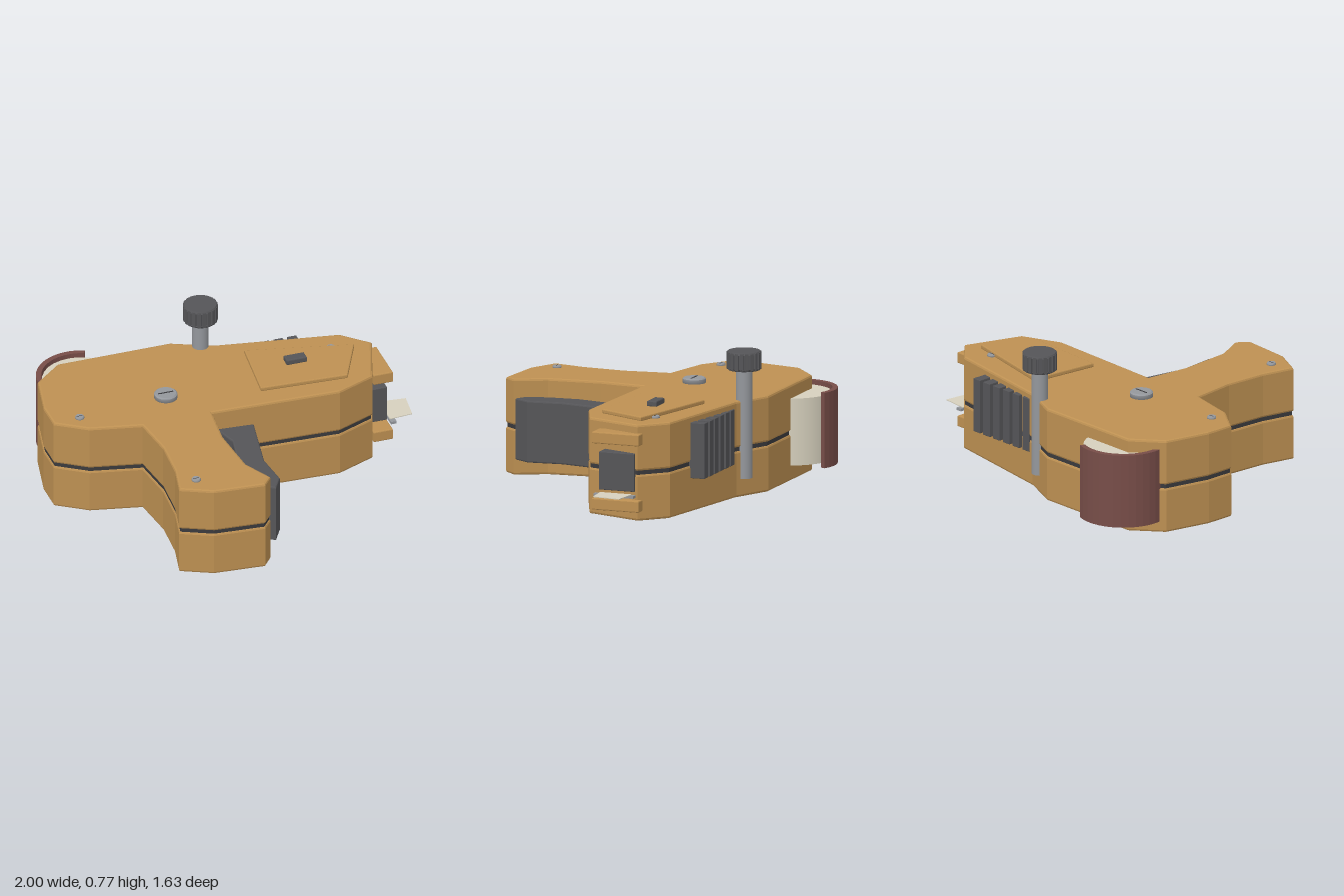
import * as THREE from 'three';

const mat = (name, color) => {
  const m = new THREE.MeshStandardMaterial({ color });
  m.name = name;
  return m;
};

export function createModel() {
  const group = new THREE.Group();
  const tan = mat('tan casing', 0xbd9052);
  const dark = mat('dark plastic', 0x555558);
  const seamDark = mat('seam rubber', 0x3a3a3d);
  const steel = mat('steel', 0x94979c);
  const cream = mat('label paper', 0xd6d0bd);
  const maroon = mat('maroon cover', 0x774d48);

  const add = (name, geo, material, x = 0, y = 0, z = 0) => {
    const mesh = new THREE.Mesh(geo, material);
    mesh.name = name;
    mesh.position.set(x, y, z);
    group.add(mesh);
    return mesh;
  };
  // Upright slab from an outline of [x, z] points, between two heights
  const slab = (name, pts, y0, y1, material, bevel = 0, inset = bevel) => {
    const shape = new THREE.Shape(pts.map(([x, z]) => new THREE.Vector2(x, -z)));
    const geo = new THREE.ExtrudeGeometry(shape, {
      depth: y1 - y0 - 2 * bevel, bevelEnabled: bevel > 0, bevelThickness: bevel,
      bevelSize: bevel, bevelOffset: -inset, bevelSegments: 2, curveSegments: 12,
    });
    geo.rotateX(-Math.PI / 2);
    return add(name, geo, material, 0, y0 + bevel, 0);
  };
  // Box given by its limits
  const box = (name, x0, x1, y0, y1, z0, z1, material) =>
    add(name, new THREE.BoxGeometry(x1 - x0, y1 - y0, z1 - z0), material,
      (x0 + x1) / 2, (y0 + y1) / 2, (z0 + z1) / 2);
  const rect = (x0, x1, z0, z1) => [[x0, z0], [x1, z0], [x1, z1], [x0, z1]];

  // Casing: two halves with a recessed seam between
  const outline = [
    [-1, -0.27], [-0.945, -0.52], [-0.79, -0.65], [-0.17, -0.65], [0.04, -0.555],
    [0.69, -0.44], [0.825, -0.31], [0.72, 0], [0.51, 0.087], [-0.185, 0.06],
    [-0.21, 0.3], [-0.185, 0.59], [-0.105, 0.75], [-0.155, 0.812], [-0.43, 0.79],
    [-0.595, 0.71], [-0.555, 0.53], [-0.54, 0.3], [-0.57, 0.06], [-0.84, 0], [-1, -0.11],
  ];
  slab('lowerCasing', outline, 0, 0.246, tan, 0.012);
  slab('upperCasing', outline, 0.264, 0.51, tan, 0.012);
  slab('seam', outline, 0.235, 0.275, seamDark, 0.005, 0.012);

  // Trigger in front of the handle
  slab('trigger', [
    [-0.17, 0.085], [0.03, 0.1], [-0.035, 0.45], [-0.015, 0.64], [-0.065, 0.725],
    [-0.12, 0.69], [-0.155, 0.57], [-0.165, 0.4], [-0.13, 0.22],
  ], 0.09, 0.418, dark, 0.008);

  // Adjusting knob: fluted head on a long stem
  const kx = -0.03, kz = -0.57, flutes = 20;
  const head = [];
  for (let i = 0; i < flutes; i++) {
    [[0, 0.091], [0.6, 0.091], [0.7, 0.083], [0.9, 0.083]].forEach(([f, r]) => {
      const a = ((i + f) / flutes) * Math.PI * 2;
      head.push([kx + r * Math.cos(a), kz + r * Math.sin(a)]);
    });
  }
  slab('knobHead', head, 0.675, 0.765, dark);
  add('knobRimTop', new THREE.CylinderGeometry(0.084, 0.091, 0.012, 40), dark, kx, 0.764, kz);
  add('knobRimBottom', new THREE.CylinderGeometry(0.091, 0.084, 0.012, 40), dark, kx, 0.676, kz);
  add('knobStem', new THREE.CylinderGeometry(0.043, 0.043, 0.58, 24), steel, kx, 0.385, kz);

  // Grip ribs along the back
  for (let i = 0; i < 6; i++) {
    const x = 0.468 - i * 0.075;
    slab('gripRib', rect(x - 0.025, x + 0.025, -0.555, -0.46), 0.18, 0.475, dark, 0.003);
  }

  // Label roll with its curved cover
  const rx = -0.68, rz = -0.58;
  add('labelRoll', new THREE.CylinderGeometry(0.208, 0.208, 0.355, 28), cream, rx, 0.26, rz);
  const arc = [];
  const steps = 14, a0 = 1.17, a1 = 3.5;
  for (let i = 0; i <= 2 * steps + 1; i++) {
    const outer = i <= steps;
    const t = outer ? i / steps : (2 * steps + 1 - i) / steps;
    const a = a0 + (a1 - a0) * t, r = outer ? 0.24 : 0.212;
    arc.push([rx + r * Math.cos(a), rz - r * Math.sin(a)]);
  }
  slab('rollCover', arc, 0.06, 0.46, maroon);

  // Nose: two guide prongs, print head, tear bar and label
  for (const y of [0.05, 0.402]) {
    slab('noseProng', rect(0.75, 0.857, -0.33, -0.067), y, y + 0.062, tan, 0.006);
  }
  slab('printHead', rect(0.7, 0.835, -0.296, -0.098), 0.155, 0.357, dark, 0.004);
  box('tearBar', 0.853, 0.884, 0.129, 0.143, -0.31, -0.087, steel);
  slab('label', [[0.856, -0.292], [1, -0.276], [0.982, -0.124], [0.856, -0.114]],
    0.143, 0.147, cream);

  // Access panel and its latch
  slab('accessPanel', [[0.16, -0.423], [0.72, -0.29], [0.59, -0.02], [0.12, -0.047]],
    0.508, 0.532, tan, 0.006);
  slab('panelLatch', rect(0.32, 0.432, -0.262, -0.208), 0.53, 0.561, dark, 0.006);

  // Slotted screws
  const screw = (name, x, z, r, top) => {
    const h = top - 0.5;
    const s = r * 0.88;
    const profile = [[0, 0], [r, 0], [r, h - 0.006], [r, h - 0.006], [s, h], [s, h], [0, h]];
    add(name, new THREE.LatheGeometry(profile.map((p) => new THREE.Vector2(...p)), 28),
      steel, x, 0.5, z);
    box(name + 'Slot', x - r * 0.68, x + r * 0.68, top - 0.003, top + 0.001,
      z - r * 0.07, z + r * 0.07, seamDark);
  };
  screw('pivotScrew', -0.365, -0.158, 0.061, 0.538);
  screw('rearScrew', -0.855, -0.115, 0.024, 0.522);
  screw('handleScrew', -0.482, 0.656, 0.024, 0.522);
  screw('noseScrew', 0.603, -0.322, 0.024, 0.522);

  return group;
}
